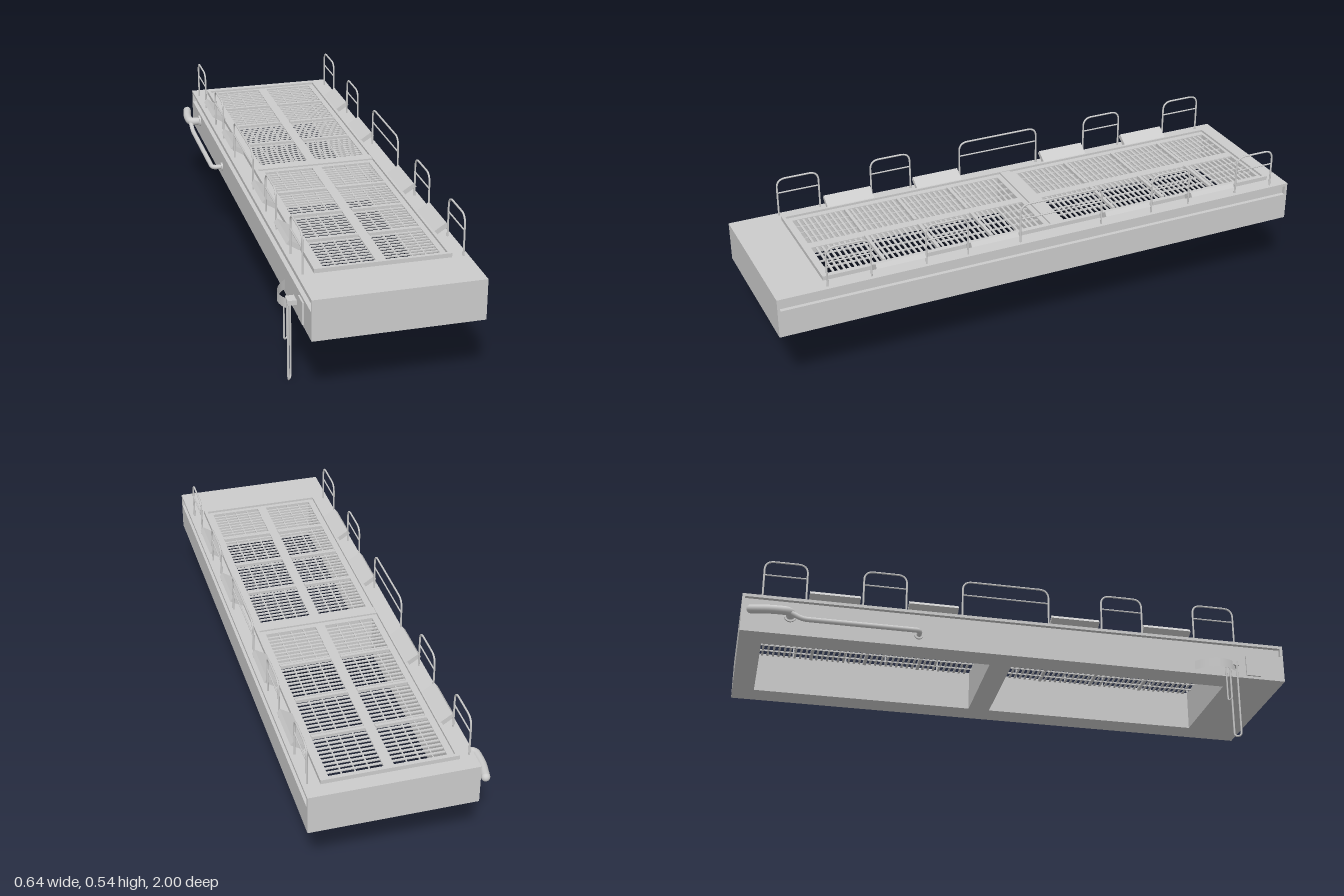
import * as THREE from 'three';

const mat = new THREE.MeshStandardMaterial({ color: 0xcccccc });
const thinMat = new THREE.MeshStandardMaterial({ color: 0xcccccc, side: THREE.DoubleSide });
const V = (x, y, z) => new THREE.Vector3(x, y, z);
const CX = 0.03; // mid line of the tray

export function createModel() {
  const root = new THREE.Group();
  const group = (name) => {
    const g = new THREE.Group();
    g.name = name;
    root.add(g);
    return g;
  };
  const add = (parent, name, geo, material = mat) => {
    const m = new THREE.Mesh(geo, material);
    m.name = name;
    parent.add(m);
    return m;
  };
  // Box given by its limits on each axis
  const box = (parent, name, x0, x1, y0, y1, z0, z1) => {
    const m = add(parent, name, new THREE.BoxGeometry(x1 - x0, y1 - y0, z1 - z0));
    m.position.set((x0 + x1) / 2, (y0 + y1) / 2, (z0 + z1) / 2);
    return m;
  };
  // Round pipe along straight runs with rounded corners
  const pipe = (parent, name, pts, r, bend = 0.02, sides = 8) => {
    const path = new THREE.CurvePath();
    let last = pts[0];
    for (let i = 1; i < pts.length - 1; i++) {
      const a = pts[i].clone().add(pts[i - 1].clone().sub(pts[i]).setLength(bend));
      const b = pts[i].clone().add(pts[i + 1].clone().sub(pts[i]).setLength(bend));
      path.add(new THREE.LineCurve3(last, a));
      path.add(new THREE.QuadraticBezierCurve3(a, pts[i], b));
      last = b;
    }
    path.add(new THREE.LineCurve3(last, pts[pts.length - 1]));
    return add(parent, name, new THREE.TubeGeometry(path, 80, r, sides));
  };
  // Horizontal slab with rectangular holes, each [x0, x1, z0, z1]
  const slab = (parent, name, outline, holes, y0, y1) => {
    const rect = (S, [a, b, c, d]) => {
      const s = new S();
      s.moveTo(a, -d).lineTo(b, -d).lineTo(b, -c).lineTo(a, -c).closePath();
      return s;
    };
    const shape = rect(THREE.Shape, outline);
    for (const h of holes) shape.holes.push(rect(THREE.Path, h));
    const g = new THREE.ExtrudeGeometry(shape, { depth: y1 - y0, bevelEnabled: false });
    g.rotateX(-Math.PI / 2).translate(0, y0, 0);
    return add(parent, name, g);
  };

  // Body: deep tray with two open wells and a groove along each long side
  const body = group('body');
  const halves = [[-0.92, -0.10], [-0.02, 0.79]];
  const wells = halves.map(([a, b]) => [-0.17, 0.23, a, b]);
  slab(body, 'lowerBody', [-0.26, 0.32, -1, 1], wells, 0.25, 0.35);
  slab(body, 'groovedBand', [-0.245, 0.305, -1, 1], wells, 0.35, 0.384);
  slab(body, 'upperBody', [-0.26, 0.32, -1, 1], wells, 0.384, 0.395);
  for (const x of [-0.26, 0.305])
    for (const z of [-1, 0.99]) box(body, 'grooveEnd', x, x + 0.015, 0.35, 0.384, z, z + 0.01);

  // Raised rim and dividing bars around the grates
  const frame = group('grateFrame');
  slab(frame, 'rim', [-0.205, 0.262, -0.945, 0.82], [[-0.193, 0.25, -0.932, 0.807]], 0.395, 0.41);
  const columns = [[-0.17, 0.01], [0.045, 0.23]];
  const openings = columns.flatMap((c) => halves.map((h) => [...c, ...h]));
  slab(frame, 'bed', [-0.193, 0.25, -0.932, 0.807], openings, 0.395, 0.402);
  box(frame, 'middleBeam', -0.193, 0.25, 0.395, 0.408, -0.08, -0.04);

  // Grates: thin cross slats, lengthwise bars and panel dividers
  const grates = group('grates');
  for (const [x0, x1] of columns)
    for (const [z0, z1] of halves) {
      const rows = 40;
      const pitch = (z1 - z0) / rows;
      for (let i = 1; i < rows; i++) {
        const z = z0 + i * pitch;
        if (i % 10 === 0) box(grates, 'panelDivider', x0, x1, 0.394, 0.406, z - 0.006, z + 0.006);
        else box(grates, 'slat', x0, x1, 0.396, 0.4, z - 0.004, z + 0.004);
      }
      for (let i = 1; i < 4; i++) {
        const x = x0 + (i * (x1 - x0)) / 4;
        box(grates, 'lengthwiseBar', x - 0.002, x + 0.002, 0.393, 0.399, z0, z1);
      }
    }

  // Guard loops and sloping guide plates on both long sides
  const loops = [[0.66, 0.817], [0.305, 0.46], [-0.215, 0.105], [-0.575, -0.42], [-0.93, -0.777]];
  const plates = [[0.465, 0.645], [0.115, 0.295], [-0.41, -0.23], [-0.765, -0.585]];
  const guards = group('guardLoops');
  const guides = group('guidePlates');
  for (const s of [-1, 1]) {
    const x = CX + s * 0.2725;
    for (const [a, b] of loops) {
      pipe(guards, 'guardLoop', [V(x, 0.39, a), V(x, 0.54, a), V(x, 0.54, b), V(x, 0.39, b)], 0.0035, 0.035);
      pipe(guards, 'middleRail', [V(x, 0.485, a), V(x, 0.485, b)], 0.0028);
    }
    for (const [a, b] of plates) {
      const shape = new THREE.Shape(
        [[0.229, 0.41], [0.238, 0.396], [0.283, 0.424], [0.272, 0.438]].map(
          ([px, py]) => new THREE.Vector2(CX + s * px, py)
        )
      );
      const g = new THREE.ExtrudeGeometry(shape, { depth: b - a, bevelEnabled: false });
      add(guides, 'guidePlate', g.translate(0, 0, a));
    }
  }

  // Rear pipework: wide elbow, flange and a long thin return pipe
  const rear = group('rearPipes');
  const elbow = [V(-0.255, 0.32, -0.83), V(-0.303, 0.32, -0.83), V(-0.303, 0.32, -0.9), V(-0.29, 0.32, -0.968)];
  pipe(rear, 'wideElbow', elbow, 0.0155, 0.025, 16);
  const cap = add(rear, 'elbowEnd', new THREE.SphereGeometry(0.0155, 16, 10));
  cap.position.set(-0.29, 0.32, -0.968);
  const flange = add(rear, 'flange', new THREE.CylinderGeometry(0.022, 0.022, 0.008, 20));
  flange.rotation.z = Math.PI / 2;
  flange.position.set(-0.263, 0.32, -0.83);
  const run = [V(-0.3, 0.315, -0.83), V(-0.3, 0.295, -0.79), V(-0.3, 0.295, -0.375), V(-0.255, 0.295, -0.375)];
  pipe(rear, 'returnPipe', run, 0.009, 0.02, 12);
  const collar = add(rear, 'returnCollar', new THREE.CylinderGeometry(0.016, 0.016, 0.008, 16));
  collar.rotation.z = Math.PI / 2;
  collar.position.set(-0.263, 0.295, -0.375);

  // Front controls: mounting plate, small bracket and hanging pull loops
  const pulls = group('pullControls');
  box(pulls, 'mountingPlate', -0.266, -0.258, 0.26, 0.34, 0.85, 0.905);
  box(pulls, 'bracket', -0.29, -0.26, 0.285, 0.302, 0.772, 0.812);
  pipe(pulls, 'longPull',
    [V(-0.288, 0.3, 0.804), V(-0.288, 0.004, 0.804), V(-0.275, 0.004, 0.782), V(-0.275, 0.3, 0.782)], 0.0035, 0.0125);
  pipe(pulls, 'shortPull',
    [V(-0.294, 0.3, 0.774), V(-0.294, 0.143, 0.774), V(-0.281, 0.143, 0.764), V(-0.281, 0.3, 0.764)], 0.003, 0.008);

  // Curved guard strip: a flat sheet bent along a curve
  const bendPath = new THREE.CatmullRomCurve3([
    V(-0.258, 0, 0.65), V(-0.285, 0, 0.68), V(-0.306, 0, 0.73), V(-0.297, 0, 0.775), V(-0.28, 0, 0.8),
  ]);
  const strip = new THREE.PlaneGeometry(1, 0.035, 20, 1);
  const pos = strip.attributes.position;
  for (let i = 0; i < pos.count; i++) {
    const p = bendPath.getPoint(pos.getX(i) + 0.5);
    pos.setXYZ(i, p.x, 0.2825 + pos.getY(i), p.z);
  }
  strip.computeVertexNormals();
  add(pulls, 'curvedStrip', strip, thinMat);

  return root;
}
